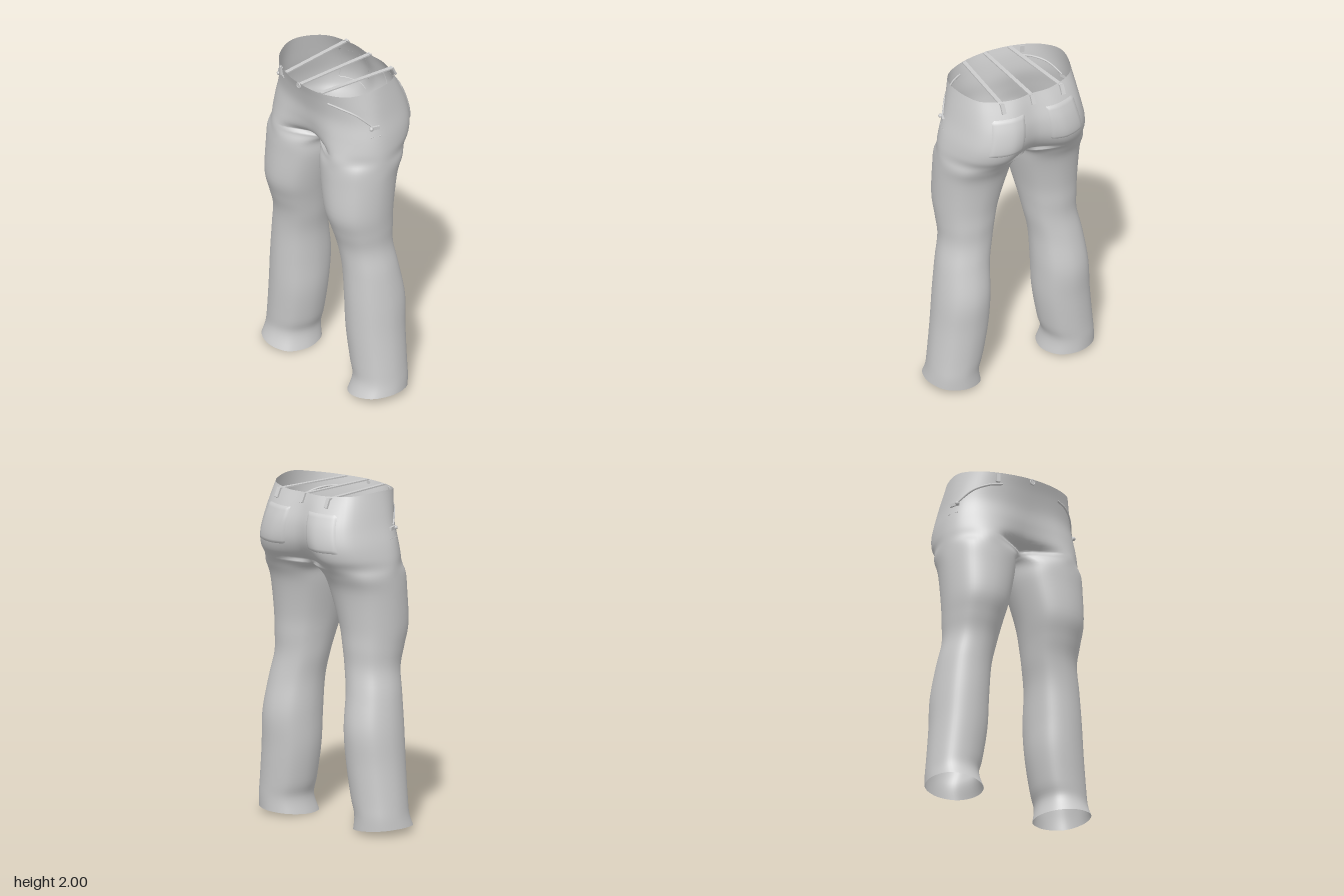
import * as THREE from 'three';
import { mergeGeometries, mergeVertices } from 'three/addons/utils/BufferGeometryUtils.js';

const CROTCH = 5; // row where the two legs separate

// Hip rows: y, outer x, front z, back z, centre front z, centre back z
const hipRows = [
  [1.975, 0.37, 0.275, -0.215, 0.3, -0.212],
  [1.9, 0.39, 0.255, -0.255, 0.275, -0.24],
  [1.8, 0.41, 0.24, -0.297, 0.25, -0.268],
  [1.7, 0.435, 0.25, -0.31, 0.238, -0.265],
  [1.62, 0.449, 0.262, -0.287, 0.215, -0.225],
  [1.56, 0.454, 0.27, -0.24, 0.15, -0.15],
];
// Leg rows: y, outer x, inner x, front z, back z
const legRows = [
  [1.5, 0.456, 0.01, 0.275, -0.2],
  [1.4, 0.455, 0.027, 0.28, -0.155],
  [1.2, 0.45, 0.08, 0.284, -0.12],
  [1.07, 0.441, 0.11, 0.248, -0.112],
  [0.95, 0.437, 0.132, 0.212, -0.108],
  [0.8, 0.465, 0.16, 0.198, -0.128],
  [0.6, 0.49, 0.17, 0.196, -0.16],
  [0.4, 0.505, 0.18, 0.192, -0.15],
  [0.2, 0.525, 0.213, 0.184, -0.14],
  [0.1, 0.535, 0.24, 0.184, -0.136],
  [0.03, 0.543, 0.222, 0.215, -0.134],
];

// Eight key points per row: front inner, front, front outer, outer,
// back outer, back, back inner, inner
function hipKeys([y, xo, zf, zb, zfc, zbc], row) {
  const zc = 0.02, top = row === 0 ? 1 : 0, low = row === CROTCH ? 1 : 0;
  const fx = 0.47 + 0.01 * row, bx = 0.38 + 0.02 * row;
  return [
    [0, y - 0.005 * top + 0.005 * low, zfc],
    [fx * xo, y - 0.004 * top, zf],
    [0.85 * xo, y + 0.006 * top, zc + 0.67 * (zf - zc)],
    [xo, y + 0.025 * top, zc + 0.02],
    [0.83 * xo, y + 0.01 * top, zc + 0.7 * (zb - zc)],
    [bx * xo, y, zb],
    [0, y - 0.01 * low, zbc],
    [0, y - 0.028 * low, 0.02],
  ];
}
function legKeys([y, xo, xi, zf, zb], row) {
  const cx = (xo + xi) / 2, a = (xo - xi) / 2, cz = (zf + zb) / 2, b = (zf - zb) / 2;
  const hem = row === legRows.length - 1 ? 1 : 0, d = 0.73;
  return [
    [cx - d * a, y - 0.03 * hem, cz + d * b],
    [cx, y - 0.015 * hem, zf],
    [cx + d * a, y, cz + d * b],
    [xo, y + 0.005 * hem, cz],
    [cx + d * a, y, cz - d * b],
    [cx, y - 0.01 * hem, zb],
    [cx - d * a, y - 0.02 * hem, cz - d * b],
    [xi, y - 0.03 * hem, cz],
  ];
}
const keyRows = [...hipRows.map(hipKeys), ...legRows.map(legKeys)];
const LAST = keyRows.length - 1;

// Smooth interpolation through four points
function spline(p0, p1, p2, p3, t) {
  return p1.map((b, i) => {
    const a = p0[i], c = p2[i], d = p3[i];
    return b + 0.5 * t * (c - a + t * (2 * a - 5 * b + 4 * c - d + t * (3 * (b - c) + d - a)));
  });
}

// Cloth point: s counts rows downward, t counts keys around the left half
function cloth(s, t) {
  const r = Math.min(Math.floor(s), LAST - 1);
  const keys = keyRows[0].map((_, i) => {
    const at = (n) => keyRows[Math.min(LAST, Math.max(i === 7 ? CROTCH : 0, n))][i];
    const k = spline(at(r - 1), at(r), at(r + 1), at(r + 2), s - r);
    k[0] = Math.max(0, k[0]);
    return k;
  });
  const flip = (k) => [-k[0], k[1], k[2]];
  const key = (n) => {
    if (s < CROTCH && n < 0) return flip(keys[1]);
    if (s < CROTCH && n > 6) return flip(keys[5]);
    return keys[(n + 8) % 8];
  };
  const i = s < CROTCH ? Math.min(Math.floor(t), 5) : Math.floor(t);
  const p = spline(key(i - 1), key(i), key(i + 1), key(i + 2), t - i);
  return new THREE.Vector3(Math.max(0, p[0]), p[1], p[2]);
}

// Point lifted off the cloth along its outward normal
function lifted(s, t, h) {
  const p = cloth(s, t), e = 0.02;
  const ds = cloth(s + e, t).sub(p), dt = cloth(s, t + e).sub(p);
  return p.addScaledVector(ds.cross(dt).normalize(), h);
}

function grid(rows, cols, point) {
  const pos = [], idx = [], w = cols + 1;
  for (let j = 0; j <= rows; j++)
    for (let i = 0; i <= cols; i++) pos.push(...point(j / rows, i / cols).toArray());
  for (let j = 0; j < rows; j++)
    for (let i = 0; i < cols; i++) {
      const a = j * w + i, b = a + 1, c = a + w, d = c + 1;
      idx.push(a, c, b, b, c, d);
    }
  const g = new THREE.BufferGeometry();
  g.setAttribute('position', new THREE.Float32BufferAttribute(pos, 3));
  g.setIndex(idx);
  return g;
}

function mirrored(g) {
  const m = g.clone().scale(-1, 1, 1), ix = m.index.array;
  for (let i = 0; i < ix.length; i += 3) [ix[i], ix[i + 1]] = [ix[i + 1], ix[i]];
  return m;
}

function bothSides(parts) {
  const all = [...parts, ...parts.map(mirrored)];
  const g = mergeVertices(mergeGeometries(all), 1e-5);
  g.computeVertexNormals();
  return g;
}

export function createModel() {
  const model = new THREE.Group();
  const fabric = new THREE.MeshStandardMaterial({ color: 0xcccccc, side: THREE.DoubleSide });
  fabric.name = 'grey fabric';
  const add = (name, geometry, x = 0, y = 0, z = 0) => {
    const mesh = new THREE.Mesh(geometry, fabric);
    mesh.name = name;
    mesh.position.set(x, y, z);
    model.add(mesh);
    return mesh;
  };

  // Hips and legs as one smooth cloth
  const hips = grid(CROTCH * 5, 42, (v, u) => cloth(v * CROTCH, u * 6));
  const leg = grid((LAST - CROTCH) * 5, 56, (v, u) => cloth(CROTCH + v * (LAST - CROTCH), u === 1 ? 0 : u * 8));
  add('trousers', bothSides([hips, leg]));

  // Raised back pockets, fading into the cloth at their edges
  const pocket = grid(16, 14, (v, u) => {
    const edge = Math.min(v, 1 - v, u, 1 - u);
    return lifted(1.15 + v * 2.3, 4.35 + u * 1.2, edge < 0.01 ? -0.002 : 0.007);
  });
  add('backPockets', bothSides([pocket]));

  // Curved front pocket seams and the short seam below each
  const seam = (points, radius) => new THREE.TubeGeometry(
    new THREE.CatmullRomCurve3(points.map(([s, t]) => lifted(s, t, 0.001))), 24, radius, 6);
  for (const side of [1, -1]) {
    const list = [
      seam([[0.9, 1.05], [1.05, 1.5], [1.4, 2.05], [2.05, 2.6]], 0.007),
      seam([[2.75, 2.5], [2.75, 2.95]], 0.003),
    ];
    list.forEach((g, i) => add(i ? 'sideSeam' : 'frontPocketSeam', side > 0 ? g : mirrored(g)));

    // Pocket rivet and tab
    const p = lifted(2.2, 2.72, 0.004);
    const tab = add('pocketTab', new THREE.BoxGeometry(0.014, 0.02, 0.06), side * p.x, p.y, p.z);
    tab.rotation.y = side * -0.35;
    const rivet = new THREE.SphereGeometry(0.012, 10, 8);
    add('pocketRivet', rivet, side * p.x, p.y, p.z + 0.025);
  }

  // Straps running from the back of the waist to the front
  for (const [x0, x1, z1] of [[-0.2, -0.153, 0.275], [0, 0, 0.297], [0.2, 0.153, 0.275]]) {
    const z0 = -0.225, dx = x1 - x0, dz = z1 - z0;
    const strap = add('waistStrap', new THREE.BoxGeometry(0.024, 0.008, Math.hypot(dx, dz)),
      (x0 + x1) / 2, 1.968, (z0 + z1) / 2);
    strap.rotation.y = Math.atan2(dx, dz);
  }

  // Belt loops at the back and one at the front
  for (const x of [-0.2, 0, 0.2]) {
    const loop = add('backBeltLoop', new THREE.BoxGeometry(0.025, 0.06, 0.012), x, 1.945, -0.233);
    loop.rotation.x = 0.45;
  }
  const front = add('frontBeltLoop', new THREE.BoxGeometry(0.024, 0.05, 0.014), -0.225, 1.94, 0.253);
  front.rotation.y = -0.35;

  // Waist button
  add('buttonRim', new THREE.TorusGeometry(0.015, 0.004, 8, 20), -0.013, 1.953, 0.3);
  const disc = add('button', new THREE.CylinderGeometry(0.013, 0.013, 0.012, 20), -0.013, 1.953, 0.296);
  disc.rotation.x = Math.PI / 2;

  return model;
}
